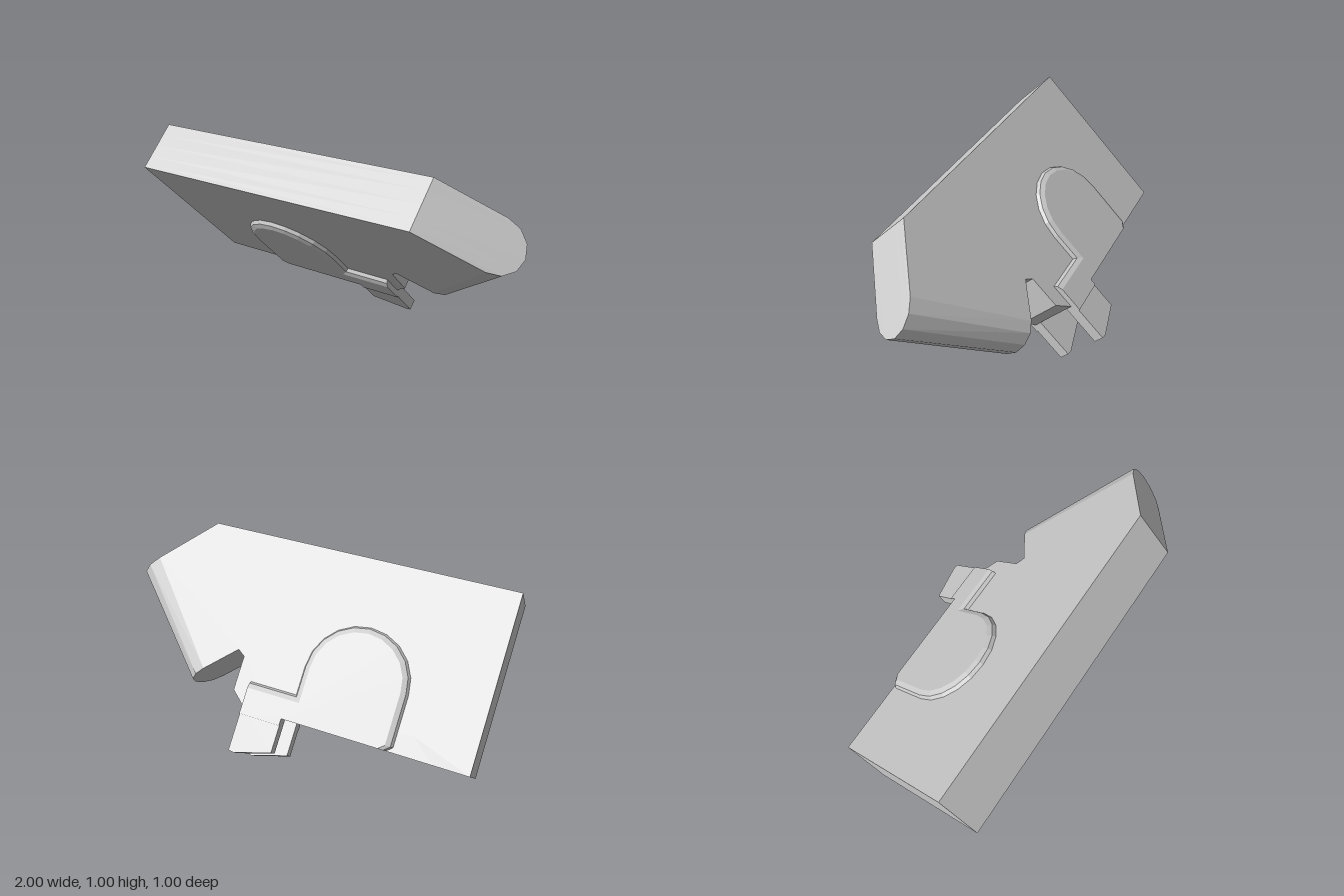
import * as THREE from 'three';

const material = new THREE.MeshStandardMaterial({ color: 0xcccccc, flatShading: true });

// Skins a stack of counter-clockwise outlines; rings = [{ w, pts: [[x, v], ...] }], w rising.
function loft(name, rings) {
  const pos = [];
  const put = (ring, i) => pos.push(ring.pts[i][0], ring.pts[i][1], ring.w);
  const n = rings[0].pts.length;
  for (let r = 0; r < rings.length - 1; r++) {
    const a = rings[r], b = rings[r + 1];
    for (let i = 0; i < n; i++) {
      const j = (i + 1) % n;
      put(a, i); put(a, j); put(b, j);
      put(a, i); put(b, j); put(b, i);
    }
  }
  const cap = (ring, flip) => {
    const outline = ring.pts.map(([x, y]) => new THREE.Vector2(x, y));
    for (const [a, b, c] of THREE.ShapeUtils.triangulateShape(outline, [])) {
      put(ring, a); put(ring, flip ? c : b); put(ring, flip ? b : c);
    }
  };
  cap(rings[0], true);
  cap(rings[rings.length - 1], false);
  const geometry = new THREE.BufferGeometry();
  geometry.setAttribute('position', new THREE.Float32BufferAttribute(pos, 3));
  geometry.computeVertexNormals();
  const mesh = new THREE.Mesh(geometry, material);
  mesh.name = name;
  return mesh;
}

const mirrored = rings => rings.map(r => ({ w: -r.w, pts: r.pts })).reverse();

const HALF = 0.134; // half thickness of the plate

// Slot cut into the lower edge, with a ramp at its far end
const slot = [[-0.82, 0.035], [-0.7, 0.14], [0.1, 0.14], [0.1, 0.035]];

// Plate outline; k pushes the slanted nose outward to round it
const plateOutline = k => [
  [-1, 0.035], ...slot, [0.17, 0.035], [0.25, 0.106], [0.25, 0.283], [0.29, 0.31],
  [0.447 + 0.083 * k, 0.166 - 0.076 * k],
  [0.893 + 0.107 * k, 0.671 - 0.093 * k],
  [0.62, 0.926], [-1, 0.926],
];

// Arched side pad with a short arm; e is the inset of the bevelled rim
function padOutline(e) {
  const pts = [
    [-0.62 + e, 0.06], [-0.59 + e, 0.035], [-0.05, 0.035], [-0.05, 0],
    [0.17, 0], [0.17, 0.17 - e], [-0.08 - e, 0.17 - e],
  ];
  const radius = 0.27 - e;
  for (let i = 0; i <= 10; i++) {
    const a = (i / 10) * Math.PI;
    pts.push([-0.35 + radius * Math.cos(a), 0.318 + radius * Math.sin(a)]);
  }
  return pts;
}

export function createModel() {
  const group = new THREE.Group();
  group.name = 'tiltedBladePlate';

  // Plate with rounded nose
  const plateRings = [];
  for (let i = 0; i <= 6; i++) {
    const a = (i / 6) * Math.PI;
    plateRings.push({ w: -HALF * Math.cos(a), pts: plateOutline(Math.sin(a)) });
  }
  group.add(loft('plate', plateRings));

  // Parts repeated on both faces
  const cheek = [0.067, HALF].map(w => ({ w, pts: [...slot].reverse() }));
  const pad = [[0.12, 0], [HALF, 0], [0.152, 0.01], [0.163, 0.035]]
    .map(([w, e]) => ({ w, pts: padOutline(e) }));
  const prongOutline = [[-0.05, -0.14], [0.14, -0.195], [0.17, -0.19], [0.17, 0.05], [-0.05, 0.05]];
  const prong = [0.099, 0.156].map(w => ({ w, pts: prongOutline }));

  for (const [name, rings] of [['slotCheek', cheek], ['sidePad', pad], ['prong', prong]]) {
    group.add(loft(name + 'Front', rings), loft(name + 'Back', mirrored(rings)));
  }

  // Lean the whole part at 45 degrees
  group.rotation.x = Math.PI / 4;
  group.position.set(0, 0.25, -0.25);
  const model = new THREE.Group();
  model.name = 'model';
  model.add(group);
  return model;
}
